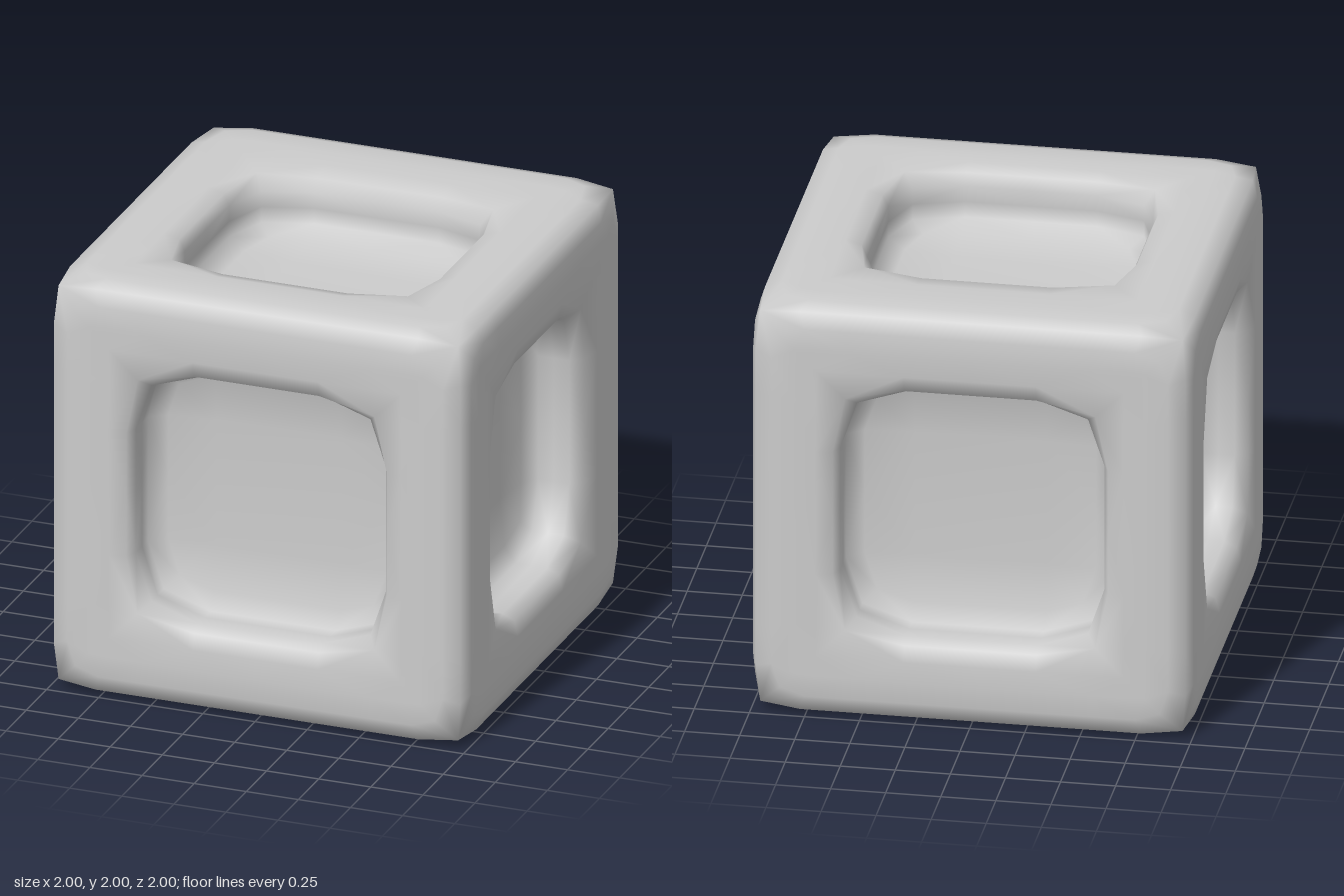
import * as THREE from 'three';

const RIM = 0.6;              // half width of each recess
const BEVEL = 0.8;            // inset that keeps the outer edges tight
const WALL = 0.15;            // support loop halfway down the recess wall
const DEPTH = 0.3;            // depth of each recess

// Sixteen points around a square of half width s, counter-clockwise; corners at i % 4 === 2
function squarePoints(s) {
  const side = [[s, 0], [s, RIM], [s, s], [RIM, s]];
  const turns = [([a, b]) => [a, b], ([a, b]) => [-b, a], ([a, b]) => [-a, -b], ([a, b]) => [b, -a]];
  return turns.flatMap((turn) => side.map(turn));
}

// Control cage: on each cube face, nested square rings that lead down into a recess
function buildCage() {
  const points = [], quads = [], lookup = new Map();
  const add = (p) => {
    const key = p.map((c) => Math.round(c * 1000)).join();
    if (!lookup.has(key)) lookup.set(key, points.push(new THREE.Vector3(...p)) - 1);
    return lookup.get(key);
  };
  // quads between two rings; where the inner ring has no bevel corner, one quad wraps the corner
  const strip = (outer, inner) => {
    for (let i = 0; i < 16; i++) {
      const j = (i + 1) % 16;
      if (outer[i] === outer[j]) continue;
      if (inner[i] !== inner[j]) quads.push([outer[i], outer[j], inner[j], inner[i]]);
      else if (i % 4 === 1) quads.push([outer[i], outer[j], outer[i + 2], inner[i]]);
    }
  };
  for (let axis = 0; axis < 3; axis++) {
    for (const sign of [1, -1]) {
      let u = (axis + 1) % 3, v = (axis + 2) % 3;
      if (sign < 0) [u, v] = [v, u];
      const place = (a, b, height) => {
        const p = [0, 0, 0];
        p[axis] = sign * height;
        p[u] = a;
        p[v] = b;
        // recesses in the side, top and bottom faces sit slightly forward
        if (axis !== 2 && Math.abs(p[2]) <= RIM) p[2] = 0.05 + p[2] * 0.55 / RIM;
        return add(p);
      };
      const ring = (size, height) => squarePoints(size).map(([a, b]) => place(a, b, height));
      const rings = [
        ring(1, 1), ring(BEVEL, 1), ring(RIM, 1), ring(RIM, 1 - WALL), ring(RIM, 1 - DEPTH),
      ];
      for (let r = 0; r < 4; r++) strip(rings[r], rings[r + 1]);
      // recess floor
      const centre = place(0, 0, 1 - DEPTH), f = rings[4];
      for (let i = 0; i < 16; i += 4) quads.push([centre, f[i], f[i + 2], f[(i + 4) % 16]]);
    }
  }
  return { points, quads };
}

const average = (list) =>
  list.reduce((sum, p) => sum.add(p), new THREE.Vector3()).divideScalar(list.length);

// One step of Catmull-Clark smoothing on a closed quad mesh
function subdivide({ points, quads }) {
  const centres = quads.map((q) => average(q.map((i) => points[i])));
  const edges = new Map();
  const around = points.map(() => ({ faces: [], mids: [] }));
  const edgeKey = (a, b) => (a < b ? `${a}_${b}` : `${b}_${a}`);
  quads.forEach((q, f) => q.forEach((a, k) => {
    const b = q[(k + 1) % 4], key = edgeKey(a, b);
    around[a].faces.push(centres[f]);
    if (!edges.has(key)) {
      edges.set(key, { ends: [points[a], points[b]], faces: [] });
      const mid = average([points[a], points[b]]);
      around[a].mids.push(mid);
      around[b].mids.push(mid);
    }
    edges.get(key).faces.push(centres[f]);
  }));

  const out = points.map((p, i) => {
    const n = around[i].faces.length;
    return average(around[i].faces)
      .addScaledVector(average(around[i].mids), 2)
      .addScaledVector(p, n - 3)
      .divideScalar(n);
  });
  const firstCentre = out.length;
  out.push(...centres);
  for (const e of edges.values()) e.index = out.push(average([...e.ends, ...e.faces])) - 1;

  const newQuads = [];
  quads.forEach((q, f) => q.forEach((a, k) => {
    const next = edges.get(edgeKey(a, q[(k + 1) % 4])).index;
    const prev = edges.get(edgeKey(q[(k + 3) % 4], a)).index;
    newQuads.push([a, next, firstCentre + f, prev]);
  }));
  return { points: out, quads: newQuads };
}

export function createModel() {
  const { points, quads } = subdivide(buildCage());
  const geometry = new THREE.BufferGeometry().setFromPoints(points);
  geometry.setIndex(quads.flatMap(([a, b, c, d]) => [a, b, c, a, c, d]));
  geometry.translate(0, 1, 0);
  geometry.computeVertexNormals();

  const cube = new THREE.Mesh(geometry, new THREE.MeshStandardMaterial({ color: 0xcccccc }));
  cube.name = 'recessedCube';
  const model = new THREE.Group();
  model.name = 'roundedCubeWithRecesses';
  model.add(cube);
  return model;
}
